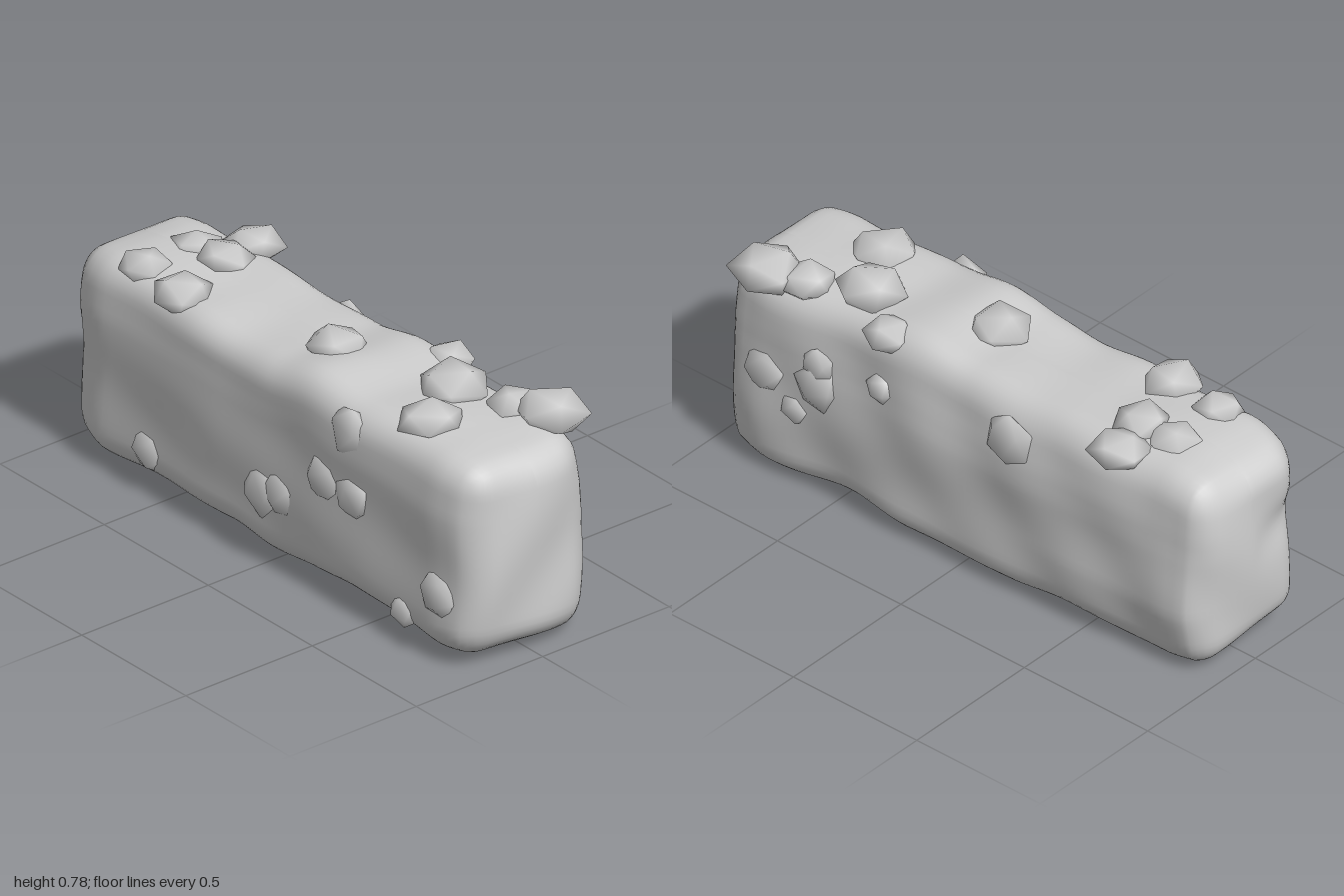
import * as THREE from 'three';
import { mergeVertices } from 'three/addons/utils/BufferGeometryUtils.js';

const stone = new THREE.MeshStandardMaterial({ color: 0xcccccc });
stone.name = 'grey stone';

// seeded random in 0..1
function seeded(seed) {
  let s = seed * 7919 + 17;
  return () => (s = (s * 16807) % 2147483647) / 2147483647;
}

// weld a geometry by position so that it shades smoothly
function weld(geo) {
  geo.deleteAttribute('uv');
  geo.deleteAttribute('normal');
  return mergeVertices(geo, 1e-4);
}

// outline along the length: x, bottom, top, back, front
const outline = [
  [-1.0, 0.045, 0.685, -0.215, 0.235],
  [-0.78, 0.01, 0.72, -0.235, 0.275],
  [-0.4, 0.035, 0.713, -0.24, 0.28],
  [-0.2, 0.03, 0.70, -0.245, 0.28],
  [0.0, 0.015, 0.71, -0.24, 0.283],
  [0.2, 0.025, 0.737, -0.243, 0.282],
  [0.42, 0.04, 0.715, -0.24, 0.278],
  [0.78, 0.01, 0.71, -0.25, 0.278],
  [1.0, 0.04, 0.69, -0.22, 0.25],
];

function section(x) {
  let i = 0;
  while (i < outline.length - 2 && x > outline[i + 1][0]) i++;
  const a = outline[i], b = outline[i + 1];
  const t = THREE.MathUtils.smoothstep(x, a[0], b[0]);
  return a.map((v, k) => v + (b[k] - v) * t);
}

// rounded, weathered block
function blockGeometry() {
  const half = new THREE.Vector3(0.99, 0.35, 0.26), r = 0.095;
  const geo = weld(new THREE.BoxGeometry(1.98, 0.7, 0.52, 64, 26, 20));
  const pos = geo.attributes.position;
  const inner = half.clone().subScalar(r), low = inner.clone().negate();
  const p = new THREE.Vector3(), c = new THREE.Vector3();
  for (let i = 0; i < pos.count; i++) {
    p.fromBufferAttribute(pos, i);
    c.copy(p).clamp(low, inner);
    const n = p.clone().sub(c).normalize();
    p.copy(c).addScaledVector(n, r);
    const [, bottom, top, back, front] = section(p.x);
    const v = p.y / half.y, w = p.z / half.z;
    let y = bottom + (top - bottom) * (v + 1) / 2;
    let z = back + (front - back) * (w + 1) / 2;
    // underside rises to the front, shoulders lean inward
    y += 0.018 * (w + 0.5) * (1 - v) / 2;
    z -= 0.025 * w * Math.max(0, v - 0.45);
    if (w < 0) {
      z += 0.03 * Math.max(0, v - 0.2);
      // lower back edge rounds off towards the right end
      z -= 0.05 * w * Math.max(0, -v - 0.4) * THREE.MathUtils.smoothstep(-p.x, 0, 0.8);
    }
    // broad dents on the long sides
    const dent = 0.007 * Math.sin(7 * p.x + 9 * y) * Math.sin(8 * y - 3 * p.x + 4 * w)
      + 0.004 * Math.sin(15 * p.x - 11 * y + 2 * w);
    // domed, slightly wavy ends, pulled in most at the back
    let x = p.x + n.x * 0.007 * Math.cos(13 * y + 3 * w + (p.x > 0 ? 0 : 2));
    x -= n.x * ((w < 0 ? 0.04 : 0.02) * w * w + 0.015 * v ** 4);
    // hollow at the front edge of the right end
    if (p.x < 0 && w > 0) x -= 0.03 * w * n.x * Math.exp(-(((y - 0.43) / 0.07) ** 2));
    pos.setXYZ(i, x, y + n.y * dent * 0.6, z + n.z * dent);
  }
  geo.computeVertexNormals();
  return geo;
}

// lumpy pebble, flattened along its local y
function pebbleGeometry(seed) {
  const rnd = seeded(seed);
  const geo = weld(new THREE.IcosahedronGeometry(1, 0));
  const pos = geo.attributes.position;
  for (let i = 0; i < pos.count; i++) {
    const k = 1.04 + 0.18 * rnd();
    pos.setXYZ(i, pos.getX(i) * k, pos.getY(i) * k, pos.getZ(i) * k);
  }
  geo.rotateX(0.55 + (rnd() - 0.5) * 0.3);
  geo.rotateY(rnd() * 6.28);
  geo.computeVertexNormals();
  return geo;
}

// x, y, z, radius, half height
const topPebbles = [
  [-0.605, 0.705, -0.175, 0.09, 0.05],
  [-0.70, 0.705, -0.03, 0.082, 0.046],
  [-0.575, 0.715, -0.04, 0.088, 0.05],
  [-0.70, 0.71, 0.17, 0.076, 0.046],
  [-0.50, 0.706, 0.19, 0.095, 0.058],
  [0.08, 0.715, 0.05, 0.098, 0.055],
  [0.33, 0.70, -0.18, 0.078, 0.045],
  [0.50, 0.722, -0.06, 0.108, 0.06],
  [0.69, 0.705, -0.14, 0.085, 0.05],
  [0.81, 0.72, -0.19, 0.11, 0.063],
  [0.61, 0.712, 0.12, 0.102, 0.048],
];
const frontPebbles = [
  [-0.58, 0.15, 0.255, 0.068, 0.036],
  [-0.02, 0.25, 0.262, 0.085, 0.038],
  [0.07, 0.275, 0.265, 0.075, 0.035],
  [0.28, 0.42, 0.267, 0.075, 0.036],
  [0.41, 0.41, 0.262, 0.077, 0.036],
  [0.39, 0.62, 0.255, 0.085, 0.042],
  [0.82, 0.24, 0.262, 0.072, 0.036],
  [0.65, 0.115, 0.255, 0.055, 0.035],
];
const backPebbles = [
  [0.78, 0.38, -0.235, 0.077, 0.034],
  [0.57, 0.41, -0.235, 0.08, 0.034],
  [0.57, 0.49, -0.23, 0.06, 0.032],
  [0.66, 0.29, -0.235, 0.052, 0.028],
  [0.32, 0.52, -0.228, 0.048, 0.03],
  [-0.2, 0.57, -0.224, 0.088, 0.04],
];

export function createModel() {
  const model = new THREE.Group();
  model.name = 'stoneBlock';

  const block = new THREE.Mesh(blockGeometry(), stone);
  block.name = 'block';
  model.add(block);

  let seed = 1;
  const addPebbles = (name, list, tilt) => {
    const group = new THREE.Group();
    group.name = name;
    for (const [x, y, z, r, h] of list) {
      const m = new THREE.Mesh(pebbleGeometry(seed++), stone);
      m.name = 'pebble';
      m.position.set(x, y, z);
      m.rotation.x = tilt;
      m.scale.set(r, h, r);
      group.add(m);
    }
    model.add(group);
  };
  addPebbles('topPebbles', topPebbles, 0);
  addPebbles('frontPebbles', frontPebbles, Math.PI / 2);
  addPebbles('backPebbles', backPebbles, -Math.PI / 2);
  return model;
}
